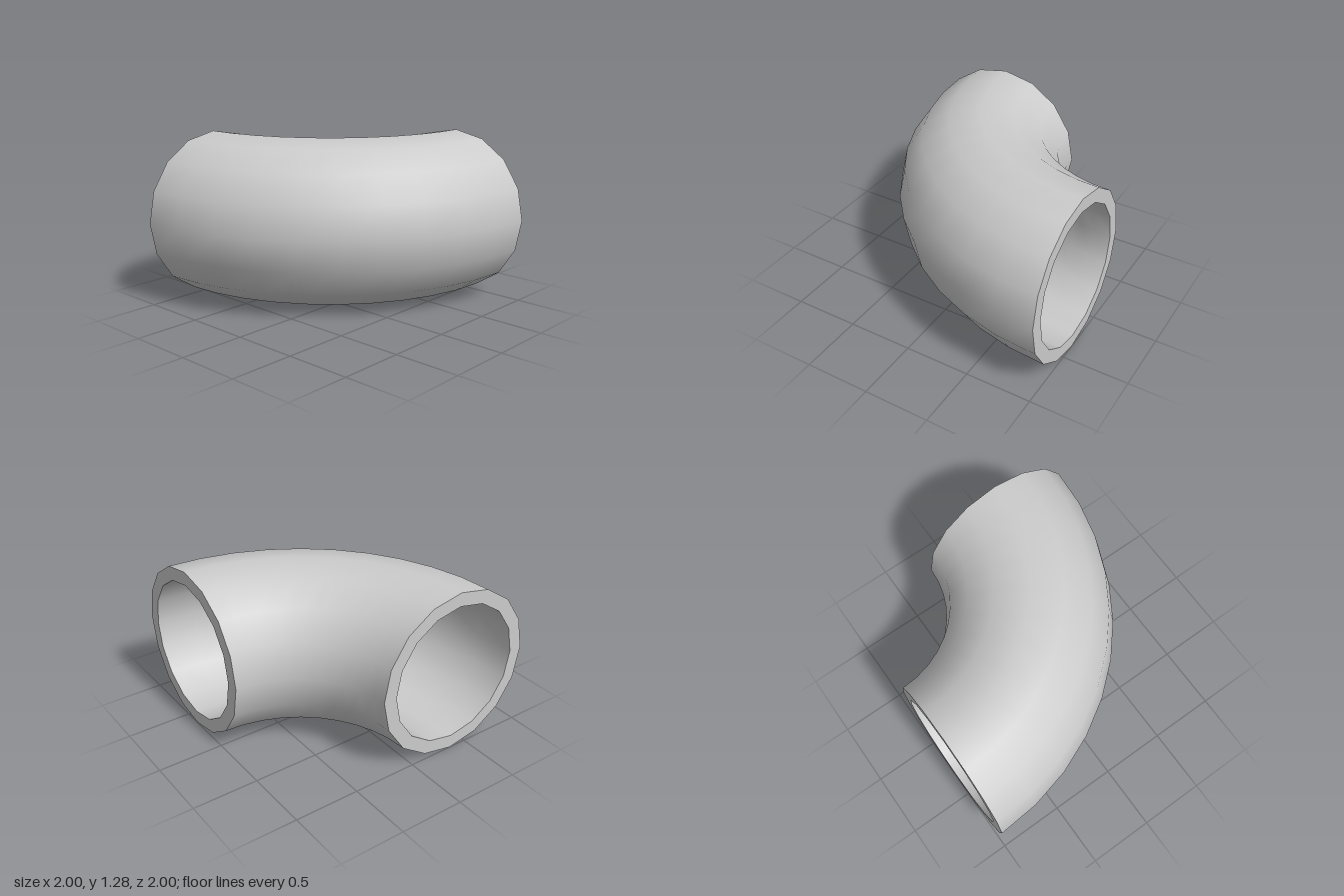
import * as THREE from 'three';

const BEND = 1.36;   // radius of the bend's centre line
const OUTER = 0.64;  // outside radius of the pipe
const INNER = 0.535; // bore radius
const SIDES = 16;
const STEPS = 10;

// quarter torus sweeping from the +z side of its centre to the -x side
function quarterBend(radius) {
  return new THREE.TorusGeometry(BEND, radius, SIDES, STEPS, Math.PI / 2)
    .rotateZ(Math.PI / 2)
    .rotateX(Math.PI / 2)
    .translate(1, OUTER, -1);
}

// turn a surface inside out
function invert(geometry) {
  const index = geometry.index;
  for (let i = 0; i < index.count; i += 3) {
    const a = index.getX(i);
    index.setX(i, index.getX(i + 2));
    index.setX(i + 2, a);
  }
  const normal = geometry.attributes.normal;
  for (let i = 0; i < normal.array.length; i++) normal.array[i] *= -1;
  return geometry;
}

export function createModel() {
  const group = new THREE.Group();
  group.name = 'pipeElbow';
  const material = new THREE.MeshStandardMaterial({ color: 0xcccccc });

  const add = (name, geometry) => {
    const mesh = new THREE.Mesh(geometry, material);
    mesh.name = name;
    group.add(mesh);
    return mesh;
  };

  // pipe walls
  add('outerWall', quarterBend(OUTER));
  add('innerWall', invert(quarterBend(INNER)));

  // flat rims closing the wall thickness at both open ends
  const rim = new THREE.RingGeometry(INNER, OUTER, SIDES, 1);
  const sideRim = add('sideRim', rim);
  sideRim.position.set(1, OUTER, BEND - 1);
  sideRim.rotation.y = Math.PI / 2;
  const backRim = add('backRim', rim);
  backRim.position.set(1 - BEND, OUTER, -1);
  backRim.rotation.y = Math.PI;

  return group;
}
